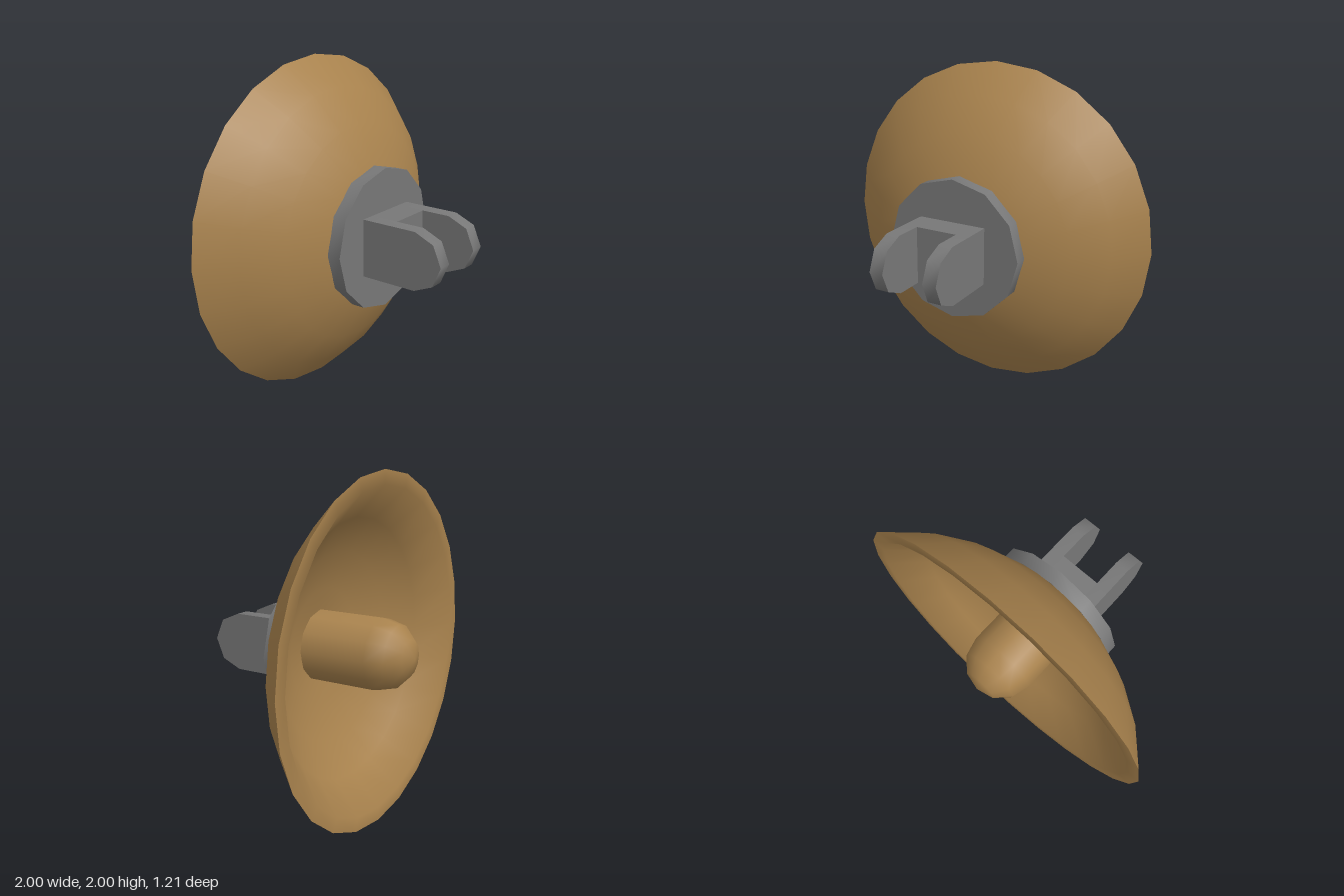
import * as THREE from 'three';
import { toCreasedNormals } from 'three/addons/utils/BufferGeometryUtils.js';

const CREASE = 0.9;

export function createModel() {
  const model = new THREE.Group();
  model.name = 'dishAntenna';

  const bronze = new THREE.MeshStandardMaterial({ name: 'bronze', color: 0xa8824d });
  const grey = new THREE.MeshStandardMaterial({ name: 'grey', color: 0x777777 });

  const add = (name, geometry, material, x = 0) => {
    const mesh = new THREE.Mesh(toCreasedNormals(geometry, CREASE), material);
    mesh.name = name;
    mesh.position.set(x, 1, 0);
    model.add(mesh);
  };

  // Solid of revolution around z from [radius, z] pairs
  const turned = (profile, sides) =>
    new THREE.LatheGeometry(profile.map(([r, z]) => new THREE.Vector2(r, z)), sides).rotateX(Math.PI / 2);

  // Point on a sphere of the given radius, measured from the +z axis
  const arc = (radius, centre, degrees) => {
    const a = THREE.MathUtils.degToRad(degrees);
    return [radius * Math.sin(a), centre + radius * Math.cos(a)];
  };

  // Dish: inner bowl, flat rim, then outer shell
  const inner = [4, 16, 27, 38].map((d) => arc(1.206, -1.18, d));
  const outer = [41, 30.2, 19, 8].map((d) => arc(1.268, -1.18, d));
  add('dish', turned([...inner, [0.92, -0.4], [1, -0.4], ...outer], 24), bronze);

  // Feed horn: a cylinder with a rounded end
  const dome = [180, 150, 120, 90].map((d) => arc(0.207, -0.398, d));
  dome[0][0] = 0;
  add('feedHorn', turned([...dome, [0.207, 0.06]], 12), bronze);

  // Mounting collar on the front of the dish
  add('collar', turned([[0, 0.02], [0.415, 0.02], [0.415, 0.102], [0, 0.102]], 12), grey);

  // Bracket: a block between two rounded prongs
  add('bracketBlock', new THREE.BoxGeometry(0.25, 0.334, 0.19).translate(0, 0, 0.175), grey);

  const outline = [
    [0.08, -0.167], [0.44, -0.167], [0.555, -0.117], [0.605, 0],
    [0.555, 0.117], [0.44, 0.167], [0.08, 0.167],
  ].map(([z, y]) => new THREE.Vector2(z, y));
  for (const side of [1, -1]) {
    const prong = new THREE.ExtrudeGeometry(new THREE.Shape(outline), { depth: 0.082, bevelEnabled: false })
      .translate(0, 0, -0.041)
      .rotateY(-Math.PI / 2);
    add(side > 0 ? 'leftProng' : 'rightProng', prong, grey, side * 0.166);
  }

  return model;
}
